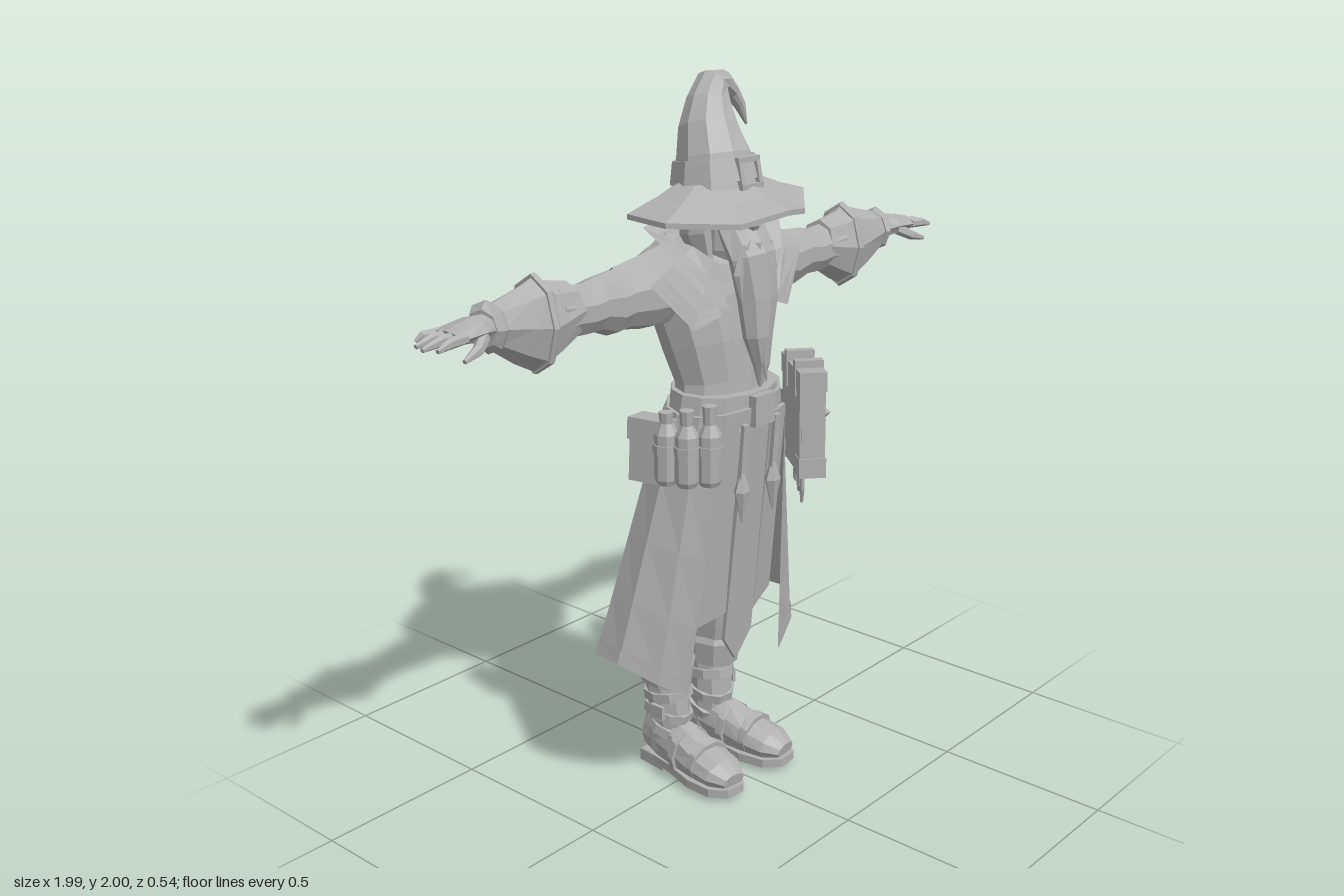
import * as THREE from 'three';

const grey = new THREE.MeshStandardMaterial({ color: 0xb0b0b0, flatShading: true, side: THREE.DoubleSide });
grey.name = 'plain grey';
const V = (x, y, z) => new THREE.Vector3(x, y, z);
const X = V(1, 0, 0), Y = V(0, 1, 0), Z = V(0, 0, 1);

function add(parent, name, geometry, pos = [0, 0, 0], rot = [0, 0, 0]) {
  const mesh = new THREE.Mesh(geometry, grey);
  mesh.name = name;
  mesh.position.set(...pos);
  mesh.rotation.set(...rot);
  parent.add(mesh);
  return mesh;
}
const box = (w, h, d) => new THREE.BoxGeometry(w, h, d);

// Skin over rows of points; closed rows wrap round, caps fill both ends
function skin(rows, closed, caps) {
  const p = [];
  const tri = (...v) => v.forEach(q => p.push(q.x, q.y, q.z));
  const n = rows[0].length, count = closed ? n : n - 1;
  for (let i = 0; i + 1 < rows.length; i++) {
    for (let j = 0; j < count; j++) {
      const k = (j + 1) % n, a = rows[i], b = rows[i + 1];
      tri(a[j], a[k], b[k]);
      tri(a[j], b[k], b[j]);
    }
  }
  if (caps) {
    const first = rows[0], last = rows[rows.length - 1];
    for (let j = 1; j + 1 < n; j++) {
      tri(first[0], first[j + 1], first[j]);
      tri(last[0], last[j], last[j + 1]);
    }
  }
  const g = new THREE.BufferGeometry();
  g.setAttribute('position', new THREE.Float32BufferAttribute(p, 3));
  g.computeVertexNormals();
  return g;
}

// Tapering limb through rings [x, y, z, width, depth]
function limb(rings, n = 8, ref = Z, caps = true) {
  const c = rings.map(r => V(r[0], r[1], r[2]));
  return skin(rings.map((r, i) => {
    const t = c[Math.min(i + 1, c.length - 1)].clone().sub(c[Math.max(i - 1, 0)]).normalize();
    const s = t.clone().cross(ref).normalize(), u = t.clone().cross(s);
    return Array.from({ length: n }, (_, j) => {
      const a = j / n * Math.PI * 2;
      return c[i].clone().addScaledVector(s, Math.cos(a) * r[3]).addScaledVector(u, Math.sin(a) * r[4]);
    });
  }), true, caps);
}

// Mirrored cloth sheet: half columns [top, bottom] run from the front edge to the back centre
function cloth(half, t0, t1, grow = 0, rows = 4) {
  const flip = v => [-v[0], v[1], v[2]];
  const cols = [...half, ...half.slice(0, -1).reverse().map(c => c.map(flip))];
  return skin(Array.from({ length: rows + 1 }, (_, i) => {
    const t = t0 + (t1 - t0) * i / rows;
    return cols.map(([a, b]) => {
      const p = V(...a).lerp(V(...b), t);
      return V(p.x * (1 + grow), p.y, (p.z + 0.05) * (1 + grow) - 0.05);
    });
  }), false, false);
}

const plate = (pts, depth) => new THREE.ExtrudeGeometry(
  new THREE.Shape(pts.map(p => new THREE.Vector2(...p))), { depth, bevelEnabled: false });

function makeArm() {
  const arm = new THREE.Group();
  add(arm, 'upperSleeve', limb([[0.14, 1.46, -0.03, 0.1, 0.09], [0.24, 1.455, -0.04, 0.095, 0.08],
    [0.32, 1.455, -0.04, 0.082, 0.068], [0.36, 1.45, -0.04, 0.083, 0.07], [0.42, 1.46, -0.03, 0.07, 0.06],
    [0.46, 1.455, -0.03, 0.066, 0.062], [0.52, 1.46, -0.03, 0.067, 0.06], [0.57, 1.46, -0.03, 0.085, 0.065]], 10));
  // Sleeve bell hanging to a point
  add(arm, 'sleeveBell', limb([[0.5, 1.47, -0.03, 0.07, 0.06], [0.58, 1.455, -0.03, 0.1, 0.07],
    [0.62, 1.45, -0.03, 0.12, 0.075], [0.68, 1.46, -0.025, 0.095, 0.065], [0.77, 1.475, -0.02, 0.055, 0.05]], 8));
  add(arm, 'sleeveTrim', limb([[0.607, 1.45, -0.03, 0.12, 0.078], [0.615, 1.45, -0.03, 0.127, 0.083],
    [0.628, 1.45, -0.03, 0.125, 0.08]], 8));
  add(arm, 'wristCuff', limb([[0.76, 1.475, -0.02, 0.055, 0.055], [0.78, 1.475, -0.02, 0.066, 0.062],
    [0.8, 1.475, -0.015, 0.048, 0.045]], 8));
  add(arm, 'palm', limb([[0.78, 1.475, -0.015, 0.035, 0.035], [0.83, 1.482, -0.01, 0.032, 0.05],
    [0.89, 1.48, -0.01, 0.022, 0.055], [0.91, 1.478, -0.01, 0.016, 0.05]], 8));
  [-0.052, -0.024, 0.004, 0.032].forEach((z, i) => {
    const tip = [0.955, 0.985, 0.995, 0.98][i];
    add(arm, 'finger', limb([[0.89, 1.48, z, 0.014, 0.014], [0.94, 1.478, z * 1.15, 0.014, 0.012],
      [tip, 1.468, z * 1.25, 0.006, 0.006]], 6));
  });
  add(arm, 'thumb', limb([[0.83, 1.47, 0.025, 0.016, 0.016], [0.87, 1.45, 0.05, 0.015, 0.014],
    [0.92, 1.435, 0.06, 0.006, 0.006]], 6));
  return arm;
}

function makeLeg() {
  const leg = new THREE.Group();
  add(leg, 'trouserLeg', limb([[0.09, 0.75, -0.04, 0.08, 0.09], [0.095, 0.5, -0.07, 0.078, 0.09],
    [0.1, 0.42, -0.08, 0.076, 0.09], [0.1, 0.36, -0.085, 0.068, 0.083], [0.1, 0.29, -0.09, 0.066, 0.08]], 9));
  add(leg, 'trouserCuff', limb([[0.1, 0.37, -0.085, 0.068, 0.08], [0.1, 0.35, -0.085, 0.078, 0.09],
    [0.1, 0.28, -0.09, 0.07, 0.085]], 9));
  add(leg, 'bootShaft', limb([[0.095, 0.31, -0.09, 0.052, 0.062], [0.095, 0.24, -0.09, 0.058, 0.068],
    [0.092, 0.17, -0.085, 0.057, 0.07], [0.09, 0.06, -0.09, 0.055, 0.065]], 9));
  // Foot, sole and heel
  const foot = new THREE.Group();
  foot.position.set(0.09, 0, -0.09);
  foot.rotation.y = 0.1;
  leg.add(foot);
  add(foot, 'bootFoot', limb([[0, 0.085, -0.07, 0.042, 0.055], [0, 0.09, 0, 0.055, 0.085],
    [0, 0.08, 0.08, 0.062, 0.075], [0, 0.068, 0.16, 0.071, 0.055], [0, 0.06, 0.23, 0.068, 0.042],
    [0, 0.052, 0.275, 0.04, 0.022]], 10, Y));
  const sole = plate([[-0.045, 0.07], [0.045, 0.07], [0.055, -0.06], [0.075, -0.16], [0.068, -0.24], [0.03, -0.285],
    [-0.03, -0.285], [-0.068, -0.24], [-0.075, -0.16], [-0.055, -0.06]], 0.025);
  add(foot, 'sole', sole, [0, 0.012, 0], [-Math.PI / 2, 0, 0]);
  add(foot, 'heel', box(0.1, 0.035, 0.1), [0, 0.018, -0.02]);
  [[0.07, 0.076], [0.15, 0.059]].forEach(([z, h]) => add(foot, 'footStrap',
    limb([[0, 0.076, z, 0.07, h + 0.006], [0, 0.074, z + 0.025, 0.075, h]], 10, Y)));
  [[0.24, -0.12], [0.18, 0.2], [0.13, 0.35]].forEach(([y, tilt]) => add(leg, 'ankleStrap',
    limb([[0, -0.014, 0, 0.066, 0.077], [0, 0.014, 0, 0.066, 0.077]], 9), [0.093, y, -0.087], [tilt, 0, tilt * 0.5]));
  add(leg, 'bootBuckle', box(0.012, 0.04, 0.045), [0.158, 0.2, -0.07]);
  return leg;
}

function makeHat() {
  const hat = new THREE.Group();
  const edge = [[0, 1.675, 0.262], [0.13, 1.655, 0.21], [0.265, 1.68, 0.1], [0.28, 1.68, -0.03], [0.12, 1.63, -0.175],
    [-0.1, 1.63, -0.18], [-0.27, 1.665, -0.05], [-0.28, 1.66, 0.09], [-0.13, 1.65, 0.21]].map(p => V(...p));
  const ring = (k, y, lift) => edge.map(p => V(p.x * k, y + (p.y + lift - y) * k * k, 0.02 + (p.z - 0.02) * k));
  add(hat, 'brim', skin([ring(0.36, 1.75, 0), ring(0.7, 1.725, 0), ring(1, 1.7, 0), ring(1, 1.7, -0.014),
    ring(0.65, 1.70, -0.014), ring(0.3, 1.72, -0.01)], true, false));
  add(hat, 'crown', limb([[-0.005, 1.7, 0.02, 0.122, 0.118], [-0.005, 1.79, 0.01, 0.1, 0.1],
    [0.005, 1.86, -0.015, 0.083, 0.08], [0.025, 1.92, -0.032, 0.062, 0.06], [0.05, 1.963, -0.042, 0.045, 0.045],
    [0.09, 1.965, -0.045, 0.033, 0.035], [0.13, 1.935, -0.04, 0.02, 0.024], [0.15, 1.9, -0.03, 0.015, 0.017],
    [0.165, 1.85, -0.02, 0.003, 0.004]], 10));
  add(hat, 'hatBand', limb([[-0.005, 1.725, 0.018, 0.124, 0.122], [-0.005, 1.785, 0.01, 0.111, 0.11]], 10));
  [-0.035, 0.035].forEach(x => add(hat, 'hatBuckle', box(0.014, 0.075, 0.016), [x, 1.755, 0.127], [-0.2, 0, 0]));
  [1.722, 1.79].forEach(y => add(hat, 'hatBuckle', box(0.084, 0.014, 0.016), [0, y, 0.128 - (y - 1.755) * 0.2]));
  return hat;
}

function makeHead() {
  const head = new THREE.Group();
  add(head, 'skull', limb([[0, 1.48, 0, 0.06, 0.06], [0, 1.56, 0.02, 0.085, 0.085], [0, 1.64, 0.02, 0.1, 0.1],
    [0, 1.74, 0.02, 0.095, 0.095]], 10));
  add(head, 'nose', limb([[0, 1.665, 0.11, 0.012, 0.015], [0, 1.615, 0.135, 0.024, 0.028],
    [0, 1.595, 0.13, 0.01, 0.012]], 6));
  // Beard core, wavy locks, moustache and brows
  add(head, 'beard', limb([[0, 1.63, 0.09, 0.085, 0.04], [0, 1.54, 0.14, 0.08, 0.048], [0.005, 1.43, 0.155, 0.066, 0.045],
    [-0.005, 1.33, 0.165, 0.045, 0.036], [0.005, 1.25, 0.17, 0.024, 0.022], [0, 1.19, 0.17, 0.004, 0.004]], 8));
  [-0.055, -0.028, 0, 0.028, 0.055].forEach((x, k) => {
    const rings = Array.from({ length: 8 }, (_, i) => {
      const t = i / 7, w = 0.002 + 0.018 * Math.sin(Math.PI * (0.15 + 0.85 * t));
      return [x * (1 - t * 0.75) + Math.sin(t * 9 + k * 2) * 0.01, 1.58 - t * (0.37 - Math.abs(x) * 2),
        0.165 + 0.025 * t - Math.abs(x) * 0.5, w, w];
    });
    add(head, 'beardLock', limb(rings, 5));
  });
  for (const s of [-1, 1]) {
    add(head, 'moustache', limb([[0.005 * s, 1.592, 0.14, 0.014, 0.014], [0.045 * s, 1.57, 0.15, 0.02, 0.016],
      [0.07 * s, 1.5, 0.15, 0.016, 0.014], [0.06 * s, 1.43, 0.155, 0.003, 0.003]], 6));
    add(head, 'eyebrow', limb([[0.012 * s, 1.655, 0.12, 0.01, 0.01], [0.05 * s, 1.67, 0.115, 0.013, 0.012],
      [0.1 * s, 1.65, 0.08, 0.004, 0.004]], 5));
    add(head, 'sideHair', limb([[0.09 * s, 1.69, 0.03, 0.025, 0.05], [0.1 * s, 1.6, 0.03, 0.028, 0.05],
      [0.085 * s, 1.5, 0.06, 0.012, 0.02]], 6));
  }
  return head;
}

function makeBook() {
  const book = new THREE.Group();
  book.position.set(0.225, 1.055, 0.145);
  book.rotation.set(0, 0.86, -0.04, 'YXZ');
  add(book, 'pages', box(0.23, 0.26, 0.05));
  for (const z of [-0.03, 0.03]) add(book, 'bookCover', box(0.25, 0.285, 0.012), [0, 0, z]);
  add(book, 'bookSpine', box(0.014, 0.285, 0.06), [-0.12, 0, 0]);
  for (const sx of [-1, 1]) for (const sy of [-1, 1]) {
    add(book, 'bookCorner', box(0.055, 0.055, 0.076), [sx * 0.105, sy * 0.122, 0], [0, 0, 0]);
  }
  add(book, 'emblemRing', new THREE.TorusGeometry(0.075, 0.01, 4, 6), [0, 0, 0.038]);
  add(book, 'emblemGem', new THREE.OctahedronGeometry(0.042), [0, 0, 0.036]);
  for (let i = 0; i < 6; i++) {
    const a = i * Math.PI / 3;
    add(book, 'emblemSpoke', box(0.035, 0.01, 0.008), [Math.cos(a) * 0.055, Math.sin(a) * 0.055, 0.04], [0, 0, a]);
  }
  for (const x of [-0.06, 0.06]) add(book, 'bookStrap', box(0.03, 0.1, 0.08), [x, 0.12, 0]);
  [-0.07, -0.03, 0.02].forEach((x, i) => add(book, 'raggedStrip',
    plate([[-0.016, 0], [0.016, 0], [0.02, -0.07], [0.004, -0.11 + i * 0.02], [-0.012, -0.07]], 0.008), [x, -0.13, -0.02]));
  return book;
}

export function createModel() {
  const model = new THREE.Group();
  model.name = 'robedFigure';
  const group = (name, g) => { g.name = name; model.add(g); return g; };
  group('hat', makeHat());
  group('head', makeHead());
  group('leftArm', makeArm());
  group('rightArm', makeArm()).scale.x = -1;
  group('leftLeg', makeLeg());
  group('rightLeg', makeLeg()).scale.x = -1;
  group('book', makeBook());

  // Body and robe
  add(model, 'torso', limb([[0, 1.06, 0.04, 0.17, 0.11], [0, 1.2, 0.035, 0.15, 0.105], [0, 1.3, 0.015, 0.175, 0.12],
    [0, 1.42, -0.01, 0.205, 0.125], [0, 1.51, -0.02, 0.18, 0.11], [0, 1.57, -0.02, 0.1, 0.08]], 12));
  add(model, 'innerRobe', limb([[0, 1.1, 0.04, 0.16, 0.1], [0, 0.85, 0.01, 0.18, 0.11], [0, 0.55, -0.04, 0.2, 0.12]],
    12, Z, false));
  const coat = [[[0.13, 1.13, 0.155], [0.2, 0.32, 0.085]], [[0.175, 1.13, 0.11], [0.29, 0.38, 0.06]],
    [[0.19, 1.13, 0.04], [0.355, 0.44, -0.03]], [[0.165, 1.13, -0.03], [0.35, 0.44, -0.12]],
    [[0.1, 1.13, -0.075], [0.21, 0.41, -0.22]], [[0.02, 1.13, -0.09], [0.04, 0.37, -0.262]],
    [[0, 1.13, -0.08], [0, 0.42, -0.225]]];
  add(model, 'coatSkirt', cloth(coat, 0, 1));
  add(model, 'coatHem', cloth(coat, 0.94, 1, 0.012, 1));
  const cape = [[[0.06, 1.5, 0.11], [0.1, 1.4, 0.13]], [[0.1, 1.54, 0.09], [0.19, 1.37, 0.105]],
    [[0.12, 1.57, 0.04], [0.3, 1.5, 0.06]], [[0.12, 1.58, -0.03], [0.335, 1.54, -0.04]],
    [[0.1, 1.59, -0.07], [0.3, 1.47, -0.13]], [[0.07, 1.59, -0.1], [0.15, 1.38, -0.155]],
    [[0, 1.59, -0.11], [0, 1.335, -0.165]]];
  add(model, 'shoulderCape', cloth(cape, 0, 1));
  add(model, 'shoulderCapeTrim', cloth(cape, 0.9, 1, 0.02, 1));
  const collar = [[[0.03, 1.26, 0.145], [0.06, 1.3, 0.15]], [[0.07, 1.4, 0.13], [0.13, 1.43, 0.13]],
    [[0.1, 1.5, 0.09], [0.19, 1.53, 0.09]], [[0.11, 1.55, 0.03], [0.255, 1.615, 0.02]],
    [[0.1, 1.57, -0.05], [0.17, 1.61, -0.09]], [[0, 1.57, -0.09], [0, 1.63, -0.125]]];
  add(model, 'collar', cloth(collar, 0, 1, 0, 2));

  // Belts, buckle and hanging panels
  add(model, 'belt', limb([[0, 1.1, 0.042, 0.185, 0.125], [0, 1.18, 0.045, 0.17, 0.125]], 14));
  add(model, 'slantedBelt', limb([[0, -0.022, 0, 0.19, 0.132], [0, 0.022, 0, 0.187, 0.132]], 14), [0, 1.13, 0.045], [0.06, 0, 0.12]);
  add(model, 'buckle', box(0.08, 0.085, 0.025), [0, 1.13, 0.178]);
  add(model, 'frontTabard', plate([[-0.05, 0], [0.05, 0], [0.058, -0.66], [0, -0.74], [-0.058, -0.66]], 0.012),
    [0, 1.1, 0.152], [0.1, 0, 0]);
  for (const s of [-1, 1]) {
    add(model, 'sidePanel', plate([[-0.045, 0], [0.045, 0], [0.055, -0.57], [-0.05, -0.6]], 0.012),
      [0.11 * s, 1.1, 0.135], [0.1, 0.25 * s, 0]);
    add(model, 'sashEnd', box(0.022, 0.2, 0.012), [0.066 * s, 1.0, 0.168], [0.08, 0, 0]);
    add(model, 'tassel', limb([[0, 0.07, 0, 0.004, 0.004], [0, 0.01, 0, 0.027, 0.02], [0, -0.08, 0, 0.003, 0.003]], 6),
      [0.066 * s, 0.9, 0.165]);
  }

  // Pouches and bottles on the right hip
  const hip = group('hipPouches', new THREE.Group());
  [[-0.17, 0.14], [-0.215, 0.1], [-0.235, 0.045]].forEach(([x, z], i) => {
    add(hip, 'bottle', limb([[x, 0.95, z, 0.026, 0.026], [x, 0.965, z, 0.033, 0.033], [x, 1.09, z, 0.033, 0.033],
      [x, 1.12, z, 0.017, 0.017], [x, 1.17 - i * 0.01, z, 0.02, 0.02]], 8));
    add(hip, 'bottleBand', new THREE.CylinderGeometry(0.037, 0.037, 0.025, 8), [x, 1.05, z]);
  });
  add(hip, 'pouch', box(0.07, 0.15, 0.11), [-0.225, 1.02, -0.01], [0, 0.2, -0.08]);
  add(hip, 'pouchFlap', box(0.08, 0.06, 0.12), [-0.222, 1.09, -0.01], [0, 0.2, -0.08]);
  return model;
}
